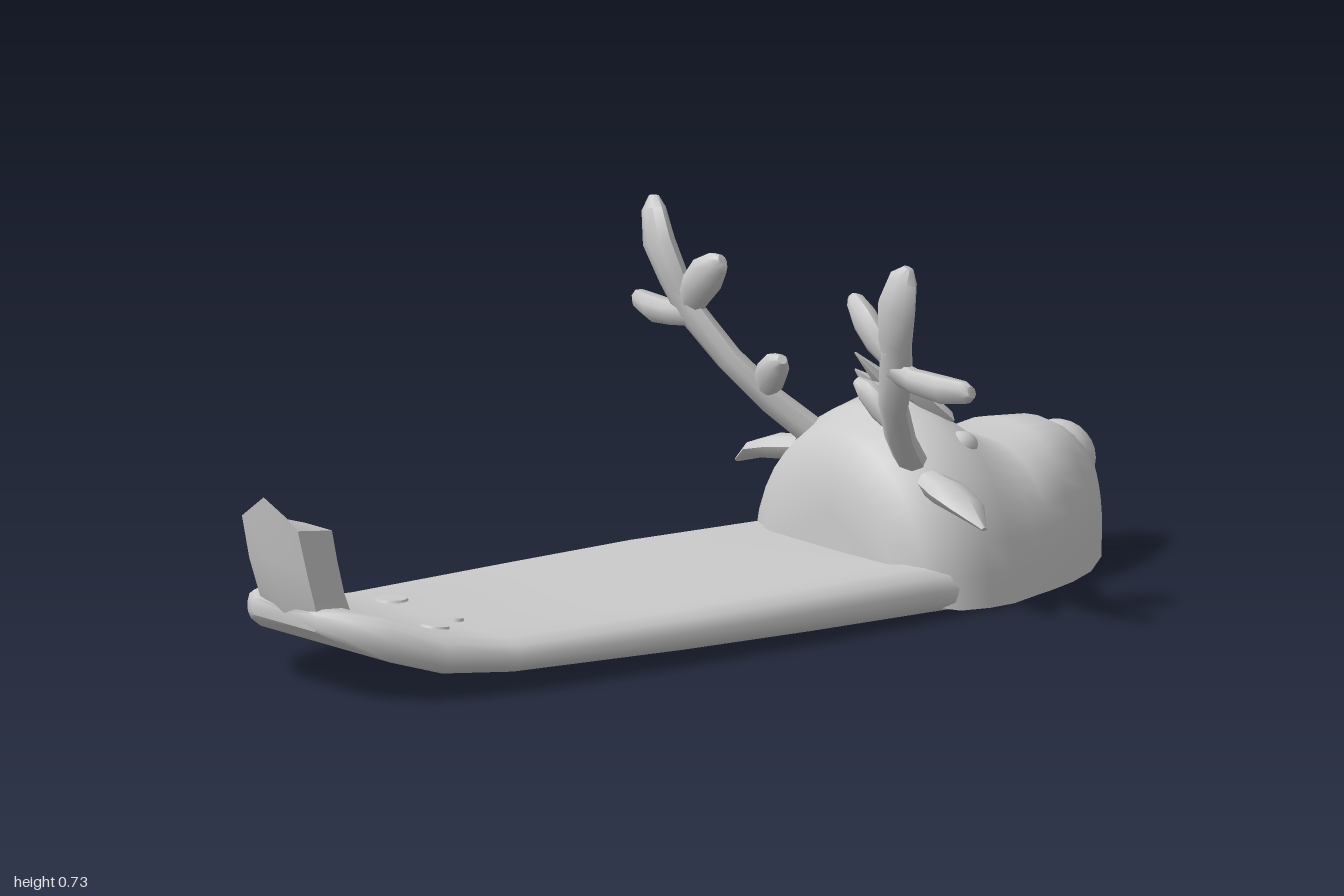
import * as THREE from 'three';
import { toCreasedNormals } from 'three/addons/utils/BufferGeometryUtils.js';

const grey = new THREE.MeshStandardMaterial({ color: 0xcccccc });
const V = (x, y, z) => new THREE.Vector3(x, y, z);

// Closed skin through rings of equal length, capped at both ends and facing outwards
function loft(rings, crease = 0.9) {
  const n = rings[0].length, last = rings.length - 1;
  const pts = rings.flat();
  for (const ring of [rings[0], rings[last]]) {
    pts.push(ring.reduce((s, p) => s.add(p), V(0, 0, 0)).divideScalar(n));
  }
  const a = last * n, c0 = pts.length - 2, c1 = pts.length - 1;
  let index = [];
  for (let j = 0; j < n; j++) {
    const k = (j + 1) % n;
    for (let i = 0; i < last; i++) {
      const p = i * n + j, q = i * n + k;
      index.push(p, q, p + n, q, q + n, p + n);
    }
    index.push(c0, k, j, c1, a + j, a + k);
  }
  let volume = 0;
  for (let i = 0; i < index.length; i += 3) {
    volume += pts[index[i]].dot(V(0, 0, 0).crossVectors(pts[index[i + 1]], pts[index[i + 2]]));
  }
  if (volume < 0) index = index.reverse();
  const g = new THREE.BufferGeometry().setFromPoints(pts);
  g.setIndex(index);
  return toCreasedNormals(g, crease);
}

// Blade or branch along a path; each stop is [x, y, z, halfWidth, halfThickness]
function limb(stops, normal, sides = 8) {
  const at = stops.map(s => V(s[0], s[1], s[2]));
  return loft(stops.map((s, i) => {
    const t = at[Math.min(i + 1, at.length - 1)].clone().sub(at[Math.max(i - 1, 0)]).normalize();
    const n = normal.clone().addScaledVector(t, -normal.dot(t)).normalize();
    const side = V(0, 0, 0).crossVectors(t, n);
    return Array.from({ length: sides }, (_, k) => {
      const u = k / sides * Math.PI * 2;
      return at[i].clone().addScaledVector(side, s[3] * Math.cos(u)).addScaledVector(n, s[4] * Math.sin(u));
    });
  }));
}

export function createModel() {
  const model = new THREE.Group();
  const add = (name, geometry, parent = model) => {
    const mesh = new THREE.Mesh(geometry, grey);
    mesh.name = name;
    parent.add(mesh);
    return mesh;
  };

  // Board: [x, half width, bottom, top], rounded rim around a flat deck
  const rim = [[0.92, 0], [0.99, 0.2], [1, 0.5], [0.96, 0.8], [0.86, 0.97], [0.72, 1], [0.6, 0.95], [0, 0.93]];
  const rimLoop = [...rim, ...rim.slice(0, -1).reverse().map(([z, y]) => [-z, y])];
  add('board', loft([
    [-0.95, 0.10, 0.135, 0.17], [-0.92, 0.15, 0.115, 0.175], [-0.85, 0.215, 0.08, 0.165],
    [-0.75, 0.25, 0.05, 0.125], [-0.6, 0.28, 0.037, 0.102], [-0.2, 0.3, 0.025, 0.1],
    [0.1, 0.305, 0.018, 0.1], [0.4, 0.295, 0.01, 0.095], [0.5, 0.285, 0.005, 0.09],
  ].map(([x, w, b, t]) => rimLoop.map(([z, y]) => V(x, b + (t - b) * y, z * w)))));

  // Head: [x, half width, bottom, top, squareness], arched sections on a flat base
  add('head', loft([
    [0.37, 0.2, 0.03, 0.24, 2], [0.4, 0.262, 0.02, 0.31, 2], [0.46, 0.292, 0.008, 0.35, 2],
    [0.53, 0.295, 0.004, 0.368, 2], [0.6, 0.28, 0, 0.335, 2.1], [0.68, 0.252, 0, 0.275, 2.4],
    [0.73, 0.236, 0, 0.262, 2.7], [0.8, 0.208, 0, 0.278, 2.7], [0.88, 0.162, 0, 0.275, 2.5],
    [0.94, 0.118, 0.012, 0.245, 2.3], [0.98, 0.07, 0.06, 0.21, 2], [0.997, 0.03, 0.11, 0.18, 2],
  ].map(([x, w, b, t, e]) => Array.from({ length: 19 }, (_, k) => {
    const u = k / 18 * Math.PI, c = Math.cos(u);
    const z = Math.sign(c) * Math.abs(c) ** (2 / e) * w;
    return V(x, b + (t - b) * Math.max(0, Math.sin(u)) ** (2 / e), z);
  }))));

  // Rounded nose
  const nose = add('nose', new THREE.SphereGeometry(0.075, 20, 14));
  nose.position.set(0.925, 0.185, 0);

  // Antlers and ears, mirrored on both sides
  const tilt = V(0.85, 0.45, 0).normalize();
  for (const s of [1, -1]) {
    const antler = new THREE.Group();
    antler.name = s > 0 ? 'frontAntler' : 'backAntler';
    model.add(antler);
    const branch = (name, stops, n, parent) =>
      add(name, limb(stops.map(([x, y, z, w, t]) => [x, y, z * s, w, t]), n), parent);
    branch('antlerStem', [[0.48, 0.25, 0.13, 0.035, 0.03], [0.39, 0.34, 0.195, 0.034, 0.026],
      [0.33, 0.42, 0.25, 0.033, 0.024], [0.285, 0.51, 0.315, 0.042, 0.022],
      [0.27, 0.55, 0.325, 0.03, 0.02]], tilt, antler);
    branch('topProng', [[0.285, 0.51, 0.32, 0.035, 0.02], [0.265, 0.57, 0.337, 0.04, 0.024],
      [0.248, 0.64, 0.362, 0.046, 0.025], [0.25, 0.7, 0.38, 0.033, 0.02],
      [0.257, 0.723, 0.388, 0.01, 0.01]], tilt, antler);
    branch('outerProng', [[0.285, 0.505, 0.31, 0.03, 0.02], [0.285, 0.495, 0.37, 0.027, 0.022],
      [0.298, 0.489, 0.44, 0.031, 0.024], [0.31, 0.492, 0.495, 0.025, 0.018],
      [0.312, 0.495, 0.511, 0.013, 0.01]], tilt, antler);
    branch('innerProng', [[0.285, 0.52, 0.315, 0.028, 0.02], [0.27, 0.56, 0.275, 0.036, 0.024],
      [0.268, 0.595, 0.24, 0.038, 0.025], [0.27, 0.622, 0.21, 0.025, 0.018],
      [0.272, 0.63, 0.198, 0.011, 0.01]], tilt, antler);
    branch('lowerProng', [[0.38, 0.355, 0.205, 0.016, 0.018], [0.365, 0.395, 0.17, 0.034, 0.024],
      [0.355, 0.425, 0.135, 0.028, 0.02], [0.35, 0.44, 0.113, 0.01, 0.01]], tilt, antler);
    branch('ear', [[0.465, 0.24, 0.19, 0.03, 0.024], [0.46, 0.23, 0.255, 0.046, 0.025],
      [0.455, 0.215, 0.315, 0.042, 0.018], [0.45, 0.183, 0.376, 0.006, 0.004]], V(0.1, 1, 0));

    // Closed eyelid
    const lid = add('eyelid', new THREE.SphereGeometry(1, 14, 10));
    lid.scale.set(0.035, 0.028, 0.03);
    lid.position.set(0.585, 0.283, 0.135 * s);
  }

  // Swept-back tuft of hair: [base x, base z, tip x, tip y, tip z, width]
  [[0.55, 0.05, 0.49, 0.415, 0.025, 0.045], [0.55, -0.02, 0.48, 0.445, -0.055, 0.045],
    [0.54, -0.06, 0.5, 0.405, -0.08, 0.035], [0.53, 0.0, 0.47, 0.4, -0.015, 0.04]]
    .forEach(([bx, bz, tx, ty, tz, w]) => add('hairTuft', limb([
      [bx + 0.05, 0.32, bz * 1.1, w, 0.02], [bx, 0.365, bz, w * 0.85, 0.022],
      [tx, ty, tz, 0.002, 0.002]], V(1, 0.5, 0), 6)));

  // Upturned tail: each ring is [back x, back y, side x, side y, front x, front y, half width]
  add('tail', loft([
    [-0.94, 0.135, -0.92, 0.13, -0.82, 0.14, 0.085], [-0.955, 0.165, -0.94, 0.17, -0.838, 0.185, 0.085],
    [-0.978, 0.26, -0.965, 0.25, -0.856, 0.25, 0.088], [-1, 0.388, -0.985, 0.335, -0.868, 0.312, 0.085],
  ].map(([bx, by, sx, sy, fx, fy, w]) => [
    V(bx, by, 0), V(sx, sy, w), V(fx, fy, w * 0.5), V(fx, fy, -w * 0.5), V(sx, sy, -w)]), 0.6));

  // Raised spots on the rear deck: [x, y, z, radius, slope]
  [[-0.75, 0.122, -0.1, 0.016, -0.22], [-0.57, 0.099, -0.15, 0.034, -0.03],
    [-0.68, 0.111, 0.12, 0.03, -0.15], [-0.58, 0.1, 0.06, 0.015, -0.08]]
    .forEach(([x, y, z, r, slope]) => {
      const spot = add('deckSpot', new THREE.CylinderGeometry(r * 0.9, r, 0.008, 18));
      spot.position.set(x, y, z);
      spot.rotation.z = slope;
    });

  return model;
}
